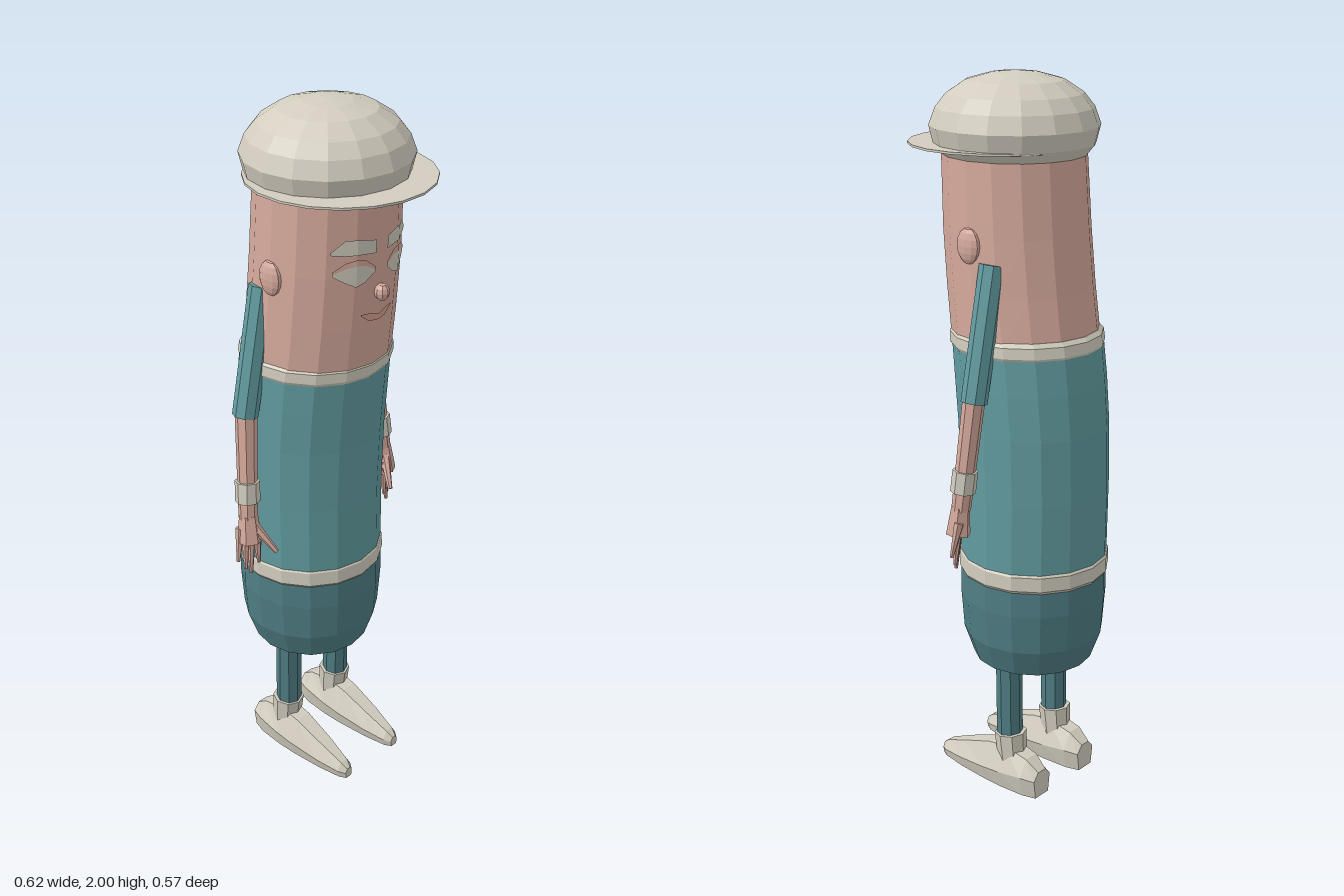
import * as THREE from 'three';

const mat = (name, color) => {
  const m = new THREE.MeshStandardMaterial({ color, flatShading: true });
  m.name = name;
  return m;
};

// Closed skin through a row of cross-sections with equal point counts
function loft(sections) {
  const n = sections[0].length, pos = [], idx = [];
  sections.forEach(s => s.forEach(p => pos.push(...p)));
  for (let i = 0; i < sections.length - 1; i++) {
    for (let j = 0; j < n; j++) {
      const a = i * n + j, b = i * n + (j + 1) % n;
      idx.push(a, b, b + n, a, b + n, a + n);
    }
  }
  [0, sections.length - 1].forEach((s, end) => {
    const c = pos.length / 3;
    pos.push(...[0, 1, 2].map(k => sections[s].reduce((t, p) => t + p[k], 0) / n));
    for (let j = 0; j < n; j++) {
      const a = s * n + j, b = s * n + (j + 1) % n;
      end ? idx.push(c, a, b) : idx.push(c, b, a);
    }
  });
  const g = new THREE.BufferGeometry();
  g.setAttribute('position', new THREE.Float32BufferAttribute(pos, 3));
  g.setIndex(idx);
  g.computeVertexNormals();
  return g;
}

// Horizontal rings given as [y, centre z, radius]
const SIDES = 16;
const rings = list => loft(list.map(([y, z, r]) =>
  Array.from({ length: SIDES }, (_, j) => {
    const t = j / SIDES * Math.PI * 2;
    return [Math.sin(t) * r, y, z + Math.cos(t) * r];
  })));

const HEAD = [[1.32, -0.043, 0.199], [1.45, -0.027, 0.197], [1.6, -0.013, 0.195], [1.81, -0.002, 0.19]];

// Depth of the faceted face at a point
function faceZ(x, y) {
  let i = 0;
  while (i < HEAD.length - 2 && y > HEAD[i + 1][0]) i++;
  const [a, b] = [HEAD[i], HEAD[i + 1]], k = (y - a[0]) / (b[0] - a[0]);
  const z = a[1] + (b[1] - a[1]) * k, r = a[2] + (b[2] - a[2]) * k;
  const step = Math.PI * 2 / SIDES;
  let j = 0;
  while (Math.abs(x) > r * Math.sin((j + 1) * step)) j++;
  const x0 = Math.sin(j * step), x1 = Math.sin((j + 1) * step);
  const f = (Math.abs(x) / r - x0) / (x1 - x0);
  return z + r * (Math.cos(j * step) * (1 - f) + Math.cos((j + 1) * step) * f);
}

// Painted patch on the face from columns [x, low y, high y]
function patch(cols, side) {
  const c = cols.map(([x, l, h]) => [x * side, l, h]).sort((a, b) => a[0] - b[0]);
  const pos = [], idx = [];
  c.forEach(([x, l, h], i) => {
    for (const y of [l, h]) pos.push(x, y, faceZ(x, y) + 0.006);
    if (i) { const a = 2 * i - 2; idx.push(a, a + 2, a + 3, a, a + 3, a + 1); }
  });
  const g = new THREE.BufferGeometry();
  g.setAttribute('position', new THREE.Float32BufferAttribute(pos, 3));
  g.setIndex(idx);
  g.computeVertexNormals();
  return g;
}

// Tapered tube from one point to another
function limb(from, to, r0, r1, sides = 8) {
  const a = new THREE.Vector3(...from), b = new THREE.Vector3(...to), d = b.clone().sub(a);
  const g = new THREE.CylinderGeometry(r1, r0, d.length(), sides);
  g.applyQuaternion(new THREE.Quaternion().setFromUnitVectors(new THREE.Vector3(0, 1, 0), d.normalize()));
  const m = a.add(b).multiplyScalar(0.5);
  return g.translate(m.x, m.y, m.z);
}

export function createModel() {
  const model = new THREE.Group();
  const skin = mat('skin', 0xd6aa9d), shirt = mat('shirt teal', 0x629ca0);
  const pants = mat('trouser teal', 0x4f7e84), cream = mat('cream', 0xd2cdbf);
  const lip = mat('lip', 0xd9a290);
  const add = (name, geometry, material) => {
    const m = new THREE.Mesh(geometry, material);
    m.name = name;
    model.add(m);
    return m;
  };

  // Curved body
  add('hips', rings([[0.37, -0.073, 0.11], [0.39, -0.073, 0.168], [0.47, -0.074, 0.196],
    [0.58, -0.074, 0.204], [0.66, -0.074, 0.203]]), pants);
  add('waistBand', rings([[0.648, -0.075, 0.2], [0.66, -0.075, 0.208], [0.7, -0.076, 0.207], [0.71, -0.076, 0.2]]), cream);
  add('torso', rings([[0.68, -0.075, 0.203], [0.9, -0.077, 0.204], [1.08, -0.072, 0.205],
    [1.2, -0.062, 0.205], [1.31, -0.05, 0.203]]), shirt);
  add('collar', rings([[1.29, -0.051, 0.201], [1.302, -0.049, 0.208], [1.33, -0.046, 0.206], [1.341, -0.045, 0.196]]), cream);
  add('head', rings(HEAD), skin);

  // Cap with a thin round brim
  add('cap', rings([[1.79, -0.004, 0.188], [1.82, -0.004, 0.212], [1.865, -0.004, 0.223], [1.91, -0.004, 0.206],
    [1.945, -0.004, 0.178], [1.978, -0.004, 0.128], [1.995, -0.004, 0.065], [2, -0.004, 0.012]]), cream);
  add('brim', new THREE.CylinderGeometry(0.246, 0.246, 0.006, 20)
    .rotateY(Math.PI / 20).translate(0, 1.818, 0.041), cream);

  // Face
  add('nose', new THREE.SphereGeometry(0.021, 8, 6).scale(0.95, 1.1, 1).translate(0, 1.545, 0.188), skin);

  for (const s of [1, -1]) {
    const side = s > 0 ? 'left' : 'right';
    const put = (name, g, m) => add(side + name, g, m);

    put('Eyebrow', patch([[0.02, 1.655, 1.69], [0.075, 1.66, 1.7], [0.1, 1.66, 1.702], [0.132, 1.665, 1.672]], s), cream);
    put('Eye', patch([[0.02, 1.607, 1.611], [0.05, 1.582, 1.628], [0.0755, 1.574, 1.632],
      [0.1, 1.588, 1.626], [0.128, 1.608, 1.613]], s), cream);
    put('Eyelid', patch([[0.02, 1.611, 1.619], [0.05, 1.628, 1.642], [0.0755, 1.632, 1.648],
      [0.1, 1.626, 1.641], [0.128, 1.613, 1.62]], s), skin);
    put('Lip', patch([[0, 1.466, 1.482], [0.028, 1.468, 1.49], [0.055, 1.488, 1.492]], s), lip);
    put('Ear', new THREE.SphereGeometry(0.037, 10, 8).scale(0.45, 1.28, 1)
      .translate(s * 0.193, 1.58, -0.014), skin);

    // Arm and hand
    const at = (x, y, z) => [s * x, y, z];
    put('Sleeve', limb(at(0.24, 1.185, -0.071), at(0.167, 1.535, -0.073), 0.035, 0.035), shirt);
    put('Forearm', limb(at(0.265, 0.89, -0.044), at(0.238, 1.2, -0.07), 0.026, 0.03), skin);
    put('Cuff', limb(at(0.261, 0.94, -0.048), at(0.256, 1, -0.053), 0.034, 0.034), cream);
    put('Palm', limb(at(0.269, 0.82, -0.036), at(0.265, 0.9, -0.043), 0.034, 0.026, 6), skin);
    const tips = [[0.305, 0.765, -0.045], [0.284, 0.735, -0.038], [0.272, 0.72, -0.03], [0.252, 0.75, -0.02]];
    tips.forEach(([x, y, z], i) =>
      put('Finger' + (i + 1), limb(at(x, y, z), at(0.285 - i * 0.011, 0.86, -0.055 + i * 0.01), 0.005, 0.014, 6), skin));
    put('Thumb', limb(at(0.228, 0.795, 0.026), at(0.262, 0.875, -0.03), 0.007, 0.015, 6), skin);

    // Leg and shoe
    put('Leg', limb(at(0.099, 0.12, -0.071), at(0.099, 0.42, -0.067), 0.037, 0.037), pants);
    put('Sock', limb(at(0.099, 0.085, -0.08), at(0.099, 0.165, -0.073), 0.042, 0.046), cream);
    const shoe = [[-0.19, 0.035, 0.055, 0.078], [-0.15, 0.05, 0.06, 0.108], [-0.07, 0.056, 0.052, 0.125],
      [-0.01, 0.054, 0.045, 0.115], [0.09, 0.043, 0.033, 0.078], [0.162, 0.027, 0.023, 0.048], [0.182, 0.013, 0.018, 0.032]];
    put('Shoe', loft(shoe.map(([z, w, mid, top]) =>
      [[0.8, 0], [1, mid], [0.45, top], [-0.45, top], [-1, mid], [-0.8, 0]]
        .map(([k, y]) => [s * 0.099 + k * w, y, z]))), cream);
  }
  return model;
}
